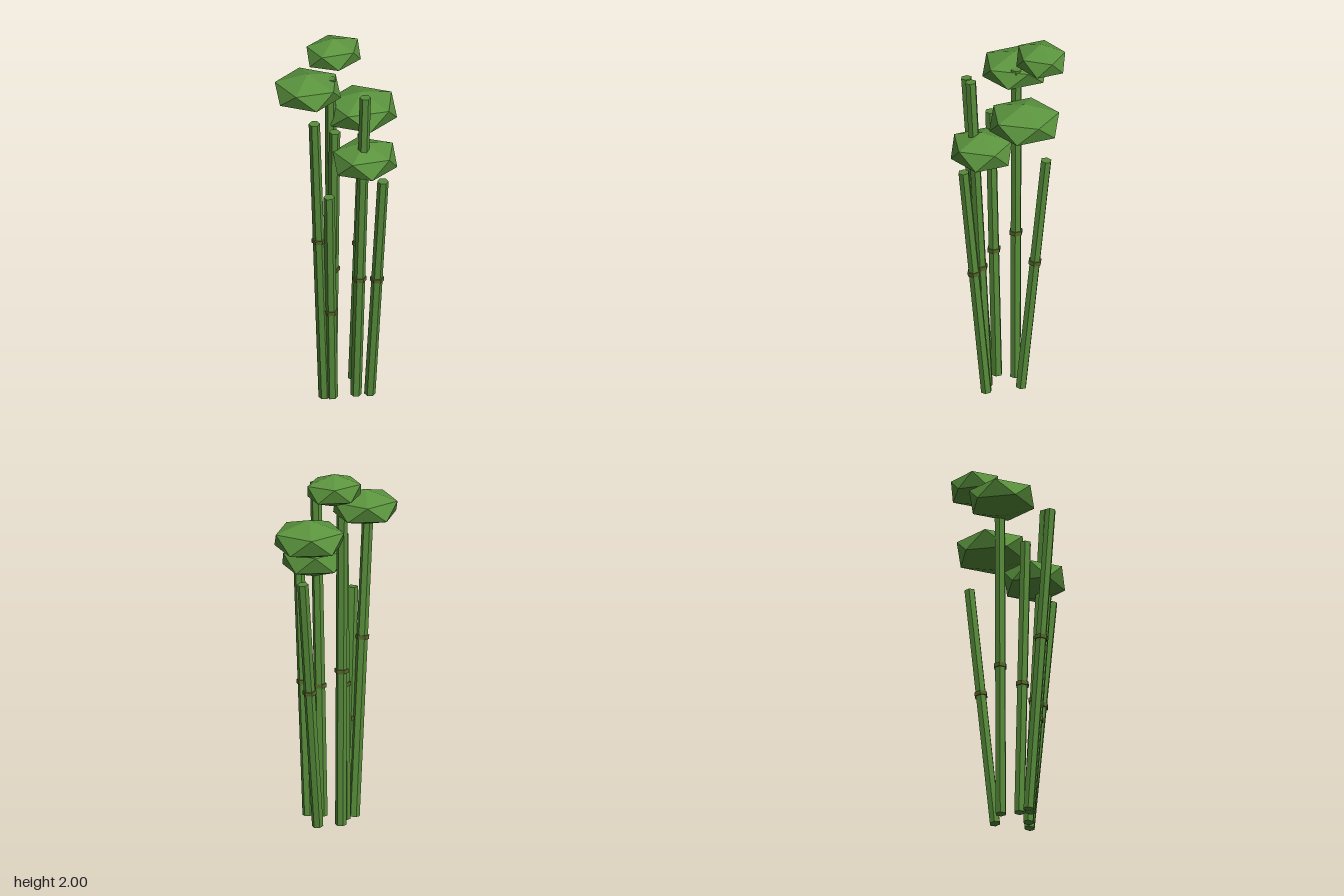
import * as THREE from 'three';
import { ConvexGeometry } from 'three/addons/geometries/ConvexGeometry.js';

const mat = (name, color) => {
  const m = new THREE.MeshStandardMaterial({ color, flatShading: true });
  m.name = name;
  return m;
};

// Twelve-pointed faceted blob: two poles and two staggered rings of five
function leafGeometry() {
  const pts = [new THREE.Vector3(0, 1, 0), new THREE.Vector3(0, -1, 0)];
  const h = 1 / Math.sqrt(5), r = 2 * h;
  for (let i = 0; i < 5; i++) {
    const a = i * Math.PI * 2 / 5;
    pts.push(new THREE.Vector3(r * Math.cos(a), h, r * Math.sin(a)));
    pts.push(new THREE.Vector3(-r * Math.cos(a), -h, -r * Math.sin(a)));
  }
  return new ConvexGeometry(pts);
}

export function createModel() {
  const model = new THREE.Group();
  model.name = 'bambooCluster';
  const stalkMat = mat('stalkGreen', 0x578c3a);
  const nodeMat = mat('nodeOlive', 0x56662b);
  const leafMat = mat('leafGreen', 0x5b943e);
  const up = new THREE.Vector3(0, 1, 0);

  // Leaning six-sided stalks: base x, z; top x, y, z; height of the node ring
  const stalks = [
    [-0.16, 0.035, -0.272, 1.71, 0.11, 0.98],
    [-0.125, 0.06, -0.188, 1.25, 0.125, 0.535],
    [-0.098, 0.01, -0.1, 1.58, 0.045, 0.75],
    [-0.005, 0.105, -0.008, 1.83, 0.2, 0.715],
    [0.06, 0.14, 0.058, 1.338, 0.27, 0.725],
    [0.083, -0.05, 0.205, 1.392, -0.142, 0.77],
    [-0.04, -0.072, -0.045, 1.83, -0.08, 0.86],
  ];
  for (const [bx, bz, tx, ty, tz, nodeY] of stalks) {
    const base = new THREE.Vector3(bx, 0, bz);
    const axis = new THREE.Vector3(tx, ty, tz).sub(base);
    const length = axis.length();
    const stalk = new THREE.Group();
    stalk.name = 'stalk';
    stalk.position.copy(base);
    stalk.quaternion.setFromUnitVectors(up, axis.clone().normalize());

    const cane = new THREE.Mesh(new THREE.CylinderGeometry(0.03, 0.03, length, 6), stalkMat);
    cane.name = 'cane';
    cane.position.y = length / 2;

    const node = new THREE.Mesh(new THREE.CylinderGeometry(0.037, 0.037, 0.022, 6), nodeMat);
    node.name = 'nodeRing';
    node.position.y = length * nodeY / ty;
    stalk.add(cane, node);
    model.add(stalk);
  }

  // Flattened leaf clumps: centre, then radii
  const leafGeo = leafGeometry();
  const leaves = [
    [0.043, 1.91, -0.182, 0.17, 0.09, 0.142],
    [-0.16, 1.775, -0.122, 0.197, 0.097, 0.194],
    [0.13, 1.607, -0.048, 0.214, 0.105, 0.207],
    [0.022, 1.428, 0.152, 0.196, 0.104, 0.18],
  ];
  for (const [x, y, z, rx, ry, rz] of leaves) {
    const leaf = new THREE.Mesh(leafGeo, leafMat);
    leaf.name = 'leafClump';
    leaf.position.set(x, y, z);
    leaf.scale.set(rx, ry, rz);
    model.add(leaf);
  }
  return model;
}
